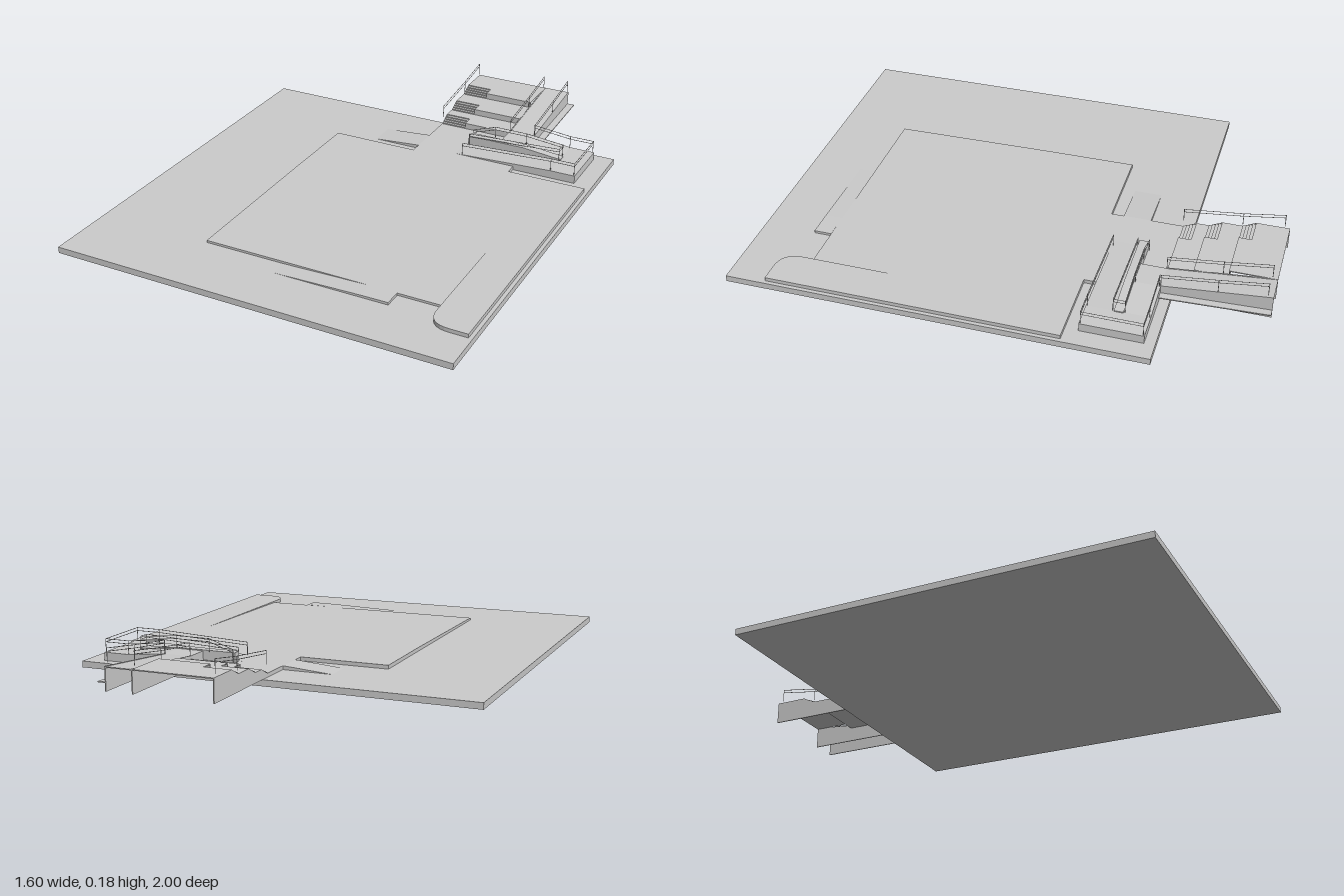
import * as THREE from 'three';

export function createModel() {
  const g = new THREE.Group();
  const mat = new THREE.MeshStandardMaterial({ color: 0xcccccc, flatShading: true, side: THREE.DoubleSide });
  const add = (name, geo) => {
    const m = new THREE.Mesh(geo, mat);
    m.name = name;
    g.add(m);
    return m;
  };
  const box = (name, x0, x1, y0, y1, z0, z1) => {
    const geo = new THREE.BoxGeometry(x1 - x0, y1 - y0, z1 - z0);
    geo.translate((x0 + x1) / 2, (y0 + y1) / 2, (z0 + z1) / 2);
    return add(name, geo);
  };
  const toShape = (pts) => new THREE.Shape(pts.map(([a, b]) => new THREE.Vector2(a, b)));
  // profile of [x, y] points, swept from z0 to z1
  const alongZ = (name, pts, z0, z1) => {
    const geo = new THREE.ExtrudeGeometry(toShape(pts), { depth: z1 - z0, bevelEnabled: false });
    return add(name, geo.translate(0, 0, z0));
  };
  // profile of [z, y] points, swept from x0 to x1
  const alongX = (name, pts, x0, x1) => {
    const shape = toShape(pts.map(([z, y]) => [-z, y]));
    const geo = new THREE.ExtrudeGeometry(shape, { depth: x1 - x0, bevelEnabled: false });
    return add(name, geo.rotateY(Math.PI / 2).translate(x0, 0, 0));
  };
  const G = 0.025; // ground level
  const P = 0.04;  // plaza level

  // Ground and plaza, which dips gently to the front
  box('groundSlab', -0.8, 0.8, 0, G, -0.63, 1);
  alongX('plaza', [[-0.3, G], [-0.3, P], [0.05, P], [0.72, 0.034], [0.72, G]], -0.33, 0.63);
  box('stairForecourt', 0.03, 0.46, G, P, -0.59, -0.3);

  // Raised side strip with a rounded front corner
  const strip = new THREE.Shape();
  strip.moveTo(0.63, 0.3);
  strip.lineTo(0.63, -0.76);
  strip.quadraticCurveTo(0.63, -0.845, 0.715, -0.845);
  strip.lineTo(0.785, -0.845);
  strip.lineTo(0.785, 0.3);
  add('sideStrip', new THREE.ExtrudeGeometry(strip, { depth: P - G, bevelEnabled: false, curveSegments: 8 })
    .rotateX(-Math.PI / 2).translate(0, G, 0));

  // Shallow access ramps onto the plaza
  alongZ('frontRamp', [[0, G], [0.46, G], [0.46, 0.035], [0.35, 0.034]], 0.72, 0.79);
  alongZ('backRamp', [[-0.17, G], [0.03, G], [0.03, P]], -0.46, -0.35);

  // Switchback ramp with landing and dividing wall
  alongZ('lowerRamp', [[0.2, P], [0.46, G], [0.62, G], [0.62, 0.058]], -0.455, -0.35);
  box('turnLanding', 0.62, 0.725, G, 0.058, -0.59, -0.35);
  alongZ('upperRamp', [[0.35, G], [0.62, G], [0.62, 0.058], [0.46, 0.075], [0.35, 0.075]], -0.59, -0.49);
  alongZ('dividingWall', [[0.215, P], [0.625, P], [0.625, 0.062], [0.46, 0.079], [0.215, 0.079]], -0.49, -0.455);

  // Three seating terraces, each with a short flight of steps beside it
  const edges = [-0.59, -0.69, -0.82, -1];
  const rise = 0.025;
  for (let i = 0; i < 3; i++) {
    const z = edges[i], y = P + i * rise, top = y + rise;
    box('terraceTop', 0.14, 0.35, top - 0.004, top, edges[i + 1], z);
    box('terraceRiser', 0.14, 0.35, y - 0.004, top, z - 0.004, z);
    const steps = [[z, y - 0.004], [z, y]];
    for (let s = 1; s <= 5; s++) {
      const zs = z - (s - 1) * 0.0125;
      steps.push([zs, y + s * rise / 5], [s < 5 ? zs - 0.0125 : edges[i + 1], y + s * rise / 5]);
    }
    steps.push([edges[i + 1], top - 0.004], [z - 0.05, top - 0.004]);
    alongX('stairFlight', steps, 0.033, 0.14);
  }

  // Sloping ramp deck beside the terraces and a low outer ledge
  alongX('topRamp', [[-0.59, 0.071], [-0.59, 0.075], [-1, 0.115], [-1, 0.111]], 0.35, 0.46);
  alongX('outerLedge', [[-0.59, 0.041], [-0.59, 0.045], [-1, 0.06], [-1, 0.056]], 0.46, 0.49);
  box('rampFootWall', 0.35, 0.46, G, 0.075, -0.594, -0.59);

  // Thin supporting walls
  const wall = (name, x) =>
    alongX(name, [[-0.59, G], [-0.59, 0.077], [-1, 0.117], [-1, G]], x, x + 0.004);
  wall('middleWall', 0.348);
  wall('leftWall', 0.456);
  alongX('rightWall', [[-0.46, G], [-0.46, P], [-0.59, P], [-0.64, 0.065], [-0.69, 0.065],
    [-0.74, 0.09], [-0.82, 0.09], [-0.87, 0.115], [-1, 0.115], [-1, G]], 0.03, 0.034);

  // Handrails: two bars following a path of deck points, with posts
  const bar = (name, a, b) => add(name, new THREE.TubeGeometry(new THREE.LineCurve3(a, b), 1, 0.0013, 4, false));
  const rail = (pts) => {
    const v = pts.map((p) => new THREE.Vector3(...p));
    const up = (p, h) => p.clone().setY(p.y + h);
    v.forEach((p, i) => {
      bar('railPost', p, up(p, 0.053));
      if (i) for (const h of [0.04, 0.052]) bar('handrail', up(v[i - 1], h), up(p, h));
    });
  };
  rail([[0.035, P + 0.033, -0.59], [0.035, 0.1, -0.82], [0.035, 0.125, -0.98]]);
  rail([[0.35, 0.075, -0.59], [0.35, 0.1, -0.8], [0.35, 0.125, -0.98]]);
  rail([[0.46, 0.075, -0.59], [0.46, 0.1, -0.8], [0.46, 0.125, -0.98]]);
  rail([[0.46, 0.075, -0.585], [0.62, 0.058, -0.585], [0.72, 0.058, -0.585],
    [0.72, 0.058, -0.355], [0.62, 0.058, -0.355], [0.23, P, -0.355]]);
  rail([[0.22, P, -0.45], [0.62, 0.058, -0.45], [0.62, 0.058, -0.495],
    [0.46, 0.074, -0.495], [0.32, 0.074, -0.495], [0.22, P, -0.495]]);
  return g;
}
